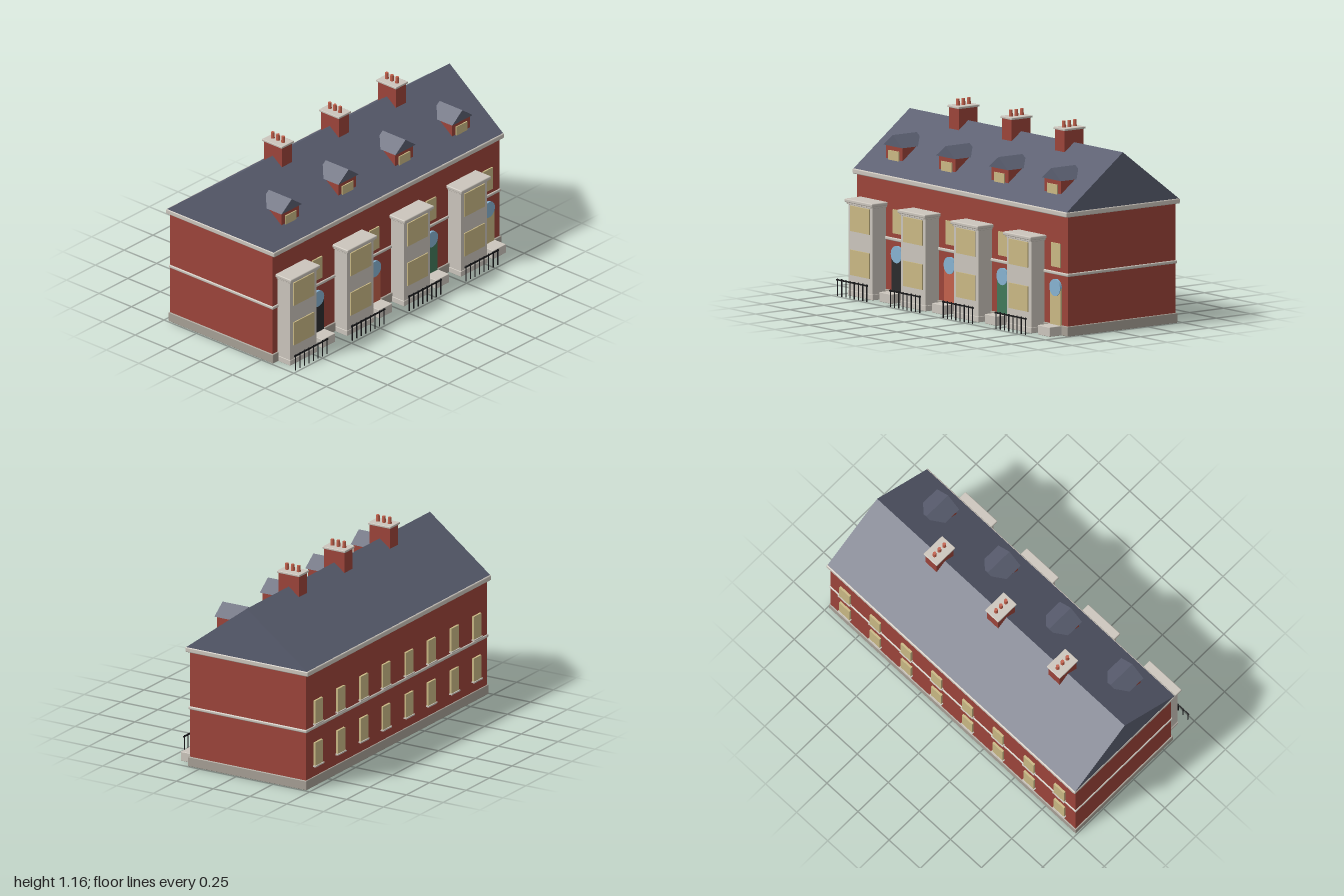
import * as THREE from 'three';
import { RoundedBoxGeometry } from 'three/addons/geometries/RoundedBoxGeometry.js';

const mat = (name, color) => {
  const m = new THREE.MeshStandardMaterial({ color });
  m.name = name;
  return m;
};

export function createModel() {
  const brick = mat('brick', 0x9c443a);
  const slate = mat('slate', 0x5a5e70);
  const stone = mat('pale stone', 0xcbc5bc);
  const plinthStone = mat('plinth stone', 0xa69f95);
  const pane = mat('warm pane', 0xc9b884);
  const sky = mat('fanlight blue', 0x86b2d0);
  const iron = mat('iron black', 0x18181a);
  const darkPaint = mat('charcoal paint', 0x2b2b2d);
  const terracotta = mat('terracotta', 0xc2604b);
  const green = mat('green paint', 0x41785a);

  const model = new THREE.Group();
  model.name = 'terrace';

  const add = (parent, name, geometry, material) => {
    const mesh = new THREE.Mesh(geometry, material);
    mesh.name = name;
    parent.add(mesh);
    return mesh;
  };
  // Box given by its x, y and z limits; a radius rounds its edges
  const block = (parent, name, material, [x0, x1], [y0, y1], [z0, z1], radius = 0) => {
    const size = [x1 - x0, y1 - y0, z1 - z0];
    const geometry = radius ? new RoundedBoxGeometry(...size, 2, radius) : new THREE.BoxGeometry(...size);
    const mesh = add(parent, name, geometry, material);
    mesh.position.set((x0 + x1) / 2, (y0 + y1) / 2, (z0 + z1) / 2);
    return mesh;
  };
  const span = (centre, width) => [centre - width / 2, centre + width / 2];
  const group = (name, z = 0) => {
    const g = new THREE.Group();
    g.name = name;
    g.position.z = z;
    model.add(g);
    return g;
  };

  // Walls and the stone bands that run all round
  block(model, 'walls', brick, [-0.465, 0.323], [0.02, 0.71], [-0.985, 0.985]);
  block(model, 'plinth', plinthStone, [-0.472, 0.333], [0, 0.058], [-0.993, 0.993], 0.004);
  block(model, 'stringCourse', stone, [-0.472, 0.331], [0.347, 0.366], [-0.992, 0.992], 0.006);
  block(model, 'eaves', stone, [-0.487, 0.348], [0.696, 0.727], [-1, 1], 0.007);

  // Gabled main roof
  const gable = new THREE.Shape([
    new THREE.Vector2(-0.48, 0.726), new THREE.Vector2(0.342, 0.726), new THREE.Vector2(-0.07, 1.037),
  ]);
  const roof = add(model, 'roof', new THREE.ExtrudeGeometry(gable, { depth: 1.992, bevelEnabled: false }), slate);
  roof.position.z = -0.996;

  // Chimneys on the party walls
  for (const z of [-0.495, 0, 0.495]) {
    const chimney = group('chimney', z);
    block(chimney, 'chimneyStack', brick, [-0.139, -0.001], [0.92, 1.11], span(0, 0.09));
    block(chimney, 'chimneyCap', stone, [-0.147, 0.007], [1.109, 1.122], span(0, 0.106), 0.003);
    for (const x of [-0.11, -0.07, -0.03]) {
      const pot = add(chimney, 'chimneyPot', new THREE.CylinderGeometry(0.01, 0.012, 0.04, 12), terracotta);
      pot.position.set(x, 1.14, 0);
    }
  }

  const dormerGable = new THREE.Shape([
    new THREE.Vector2(-0.089, 0.879), new THREE.Vector2(0.089, 0.879), new THREE.Vector2(0, 0.945),
  ]);
  const doorPaints = [darkPaint, terracotta, green, pane];

  doorPaints.forEach((paint, i) => {
    const house = group('house', 0.741 - i * 0.494);

    // Dormer
    block(house, 'dormerWalls', brick, [0.1, 0.243], [0.76, 0.88], span(0, 0.155));
    block(house, 'dormerWindow', pane, [0.242, 0.25], [0.796, 0.852], span(0, 0.096));
    const dormerRoof = add(house, 'dormerRoof',
      new THREE.ExtrudeGeometry(dormerGable, { depth: 0.176, bevelEnabled: false }), slate);
    dormerRoof.rotation.y = Math.PI / 2;
    dormerRoof.position.x = 0.078;

    // Two-storey bay
    const bay = 0.088;
    block(house, 'bay', stone, [0.3, 0.421], [0.03, 0.54], span(bay, 0.228));
    block(house, 'bayBase', stone, [0.3, 0.424], [0, 0.034], span(bay, 0.234), 0.003);
    block(house, 'bayCorniceLower', stone, [0.3, 0.429], [0.534, 0.548], span(bay, 0.242), 0.003);
    block(house, 'bayCornice', stone, [0.3, 0.44], [0.545, 0.566], span(bay, 0.258), 0.006);
    for (const y of [0.123, 0.38]) {
      block(house, 'bayWindow', pane, [0.42, 0.428], [y, y + 0.148], span(bay, 0.177));
    }

    // Entrance
    const door = -0.138;
    block(house, 'doorstep', stone, [0.3, 0.418], [0, 0.056], span(door, 0.112), 0.003);
    block(house, 'door', paint, [0.32, 0.334], [0.056, 0.272], span(door, 0.1));
    const fanlight = add(house, 'fanlight', new THREE.CylinderGeometry(0.05, 0.05, 0.016, 32), sky);
    fanlight.rotation.z = Math.PI / 2;
    fanlight.position.set(0.33, 0.273, door);
    block(house, 'upperWindow', pane, [0.32, 0.332], [0.393, 0.532], span(door, 0.082));

    // Railings in front of the bay
    block(house, 'railingTop', iron, [0.479, 0.485], [0.09, 0.098], span(bay, 0.292));
    for (let k = 0; k < 8; k++) {
      const bar = add(house, 'railingBar', new THREE.CylinderGeometry(0.0035, 0.0035, 0.102, 6), iron);
      bar.position.set(0.482, 0.051, bay - 0.137 + (k * 0.274) / 7);
    }

    // Rear windows, two on each floor
    for (const z of [-0.122, 0.122]) {
      for (const y of [0.126, 0.382]) {
        block(house, 'rearWindow', pane, [-0.478, -0.464], [y, y + 0.14], span(z, 0.082));
        block(house, 'rearSill', stone, [-0.484, -0.464], [y - 0.008, y], span(z, 0.094));
      }
    }
  });

  return model;
}
